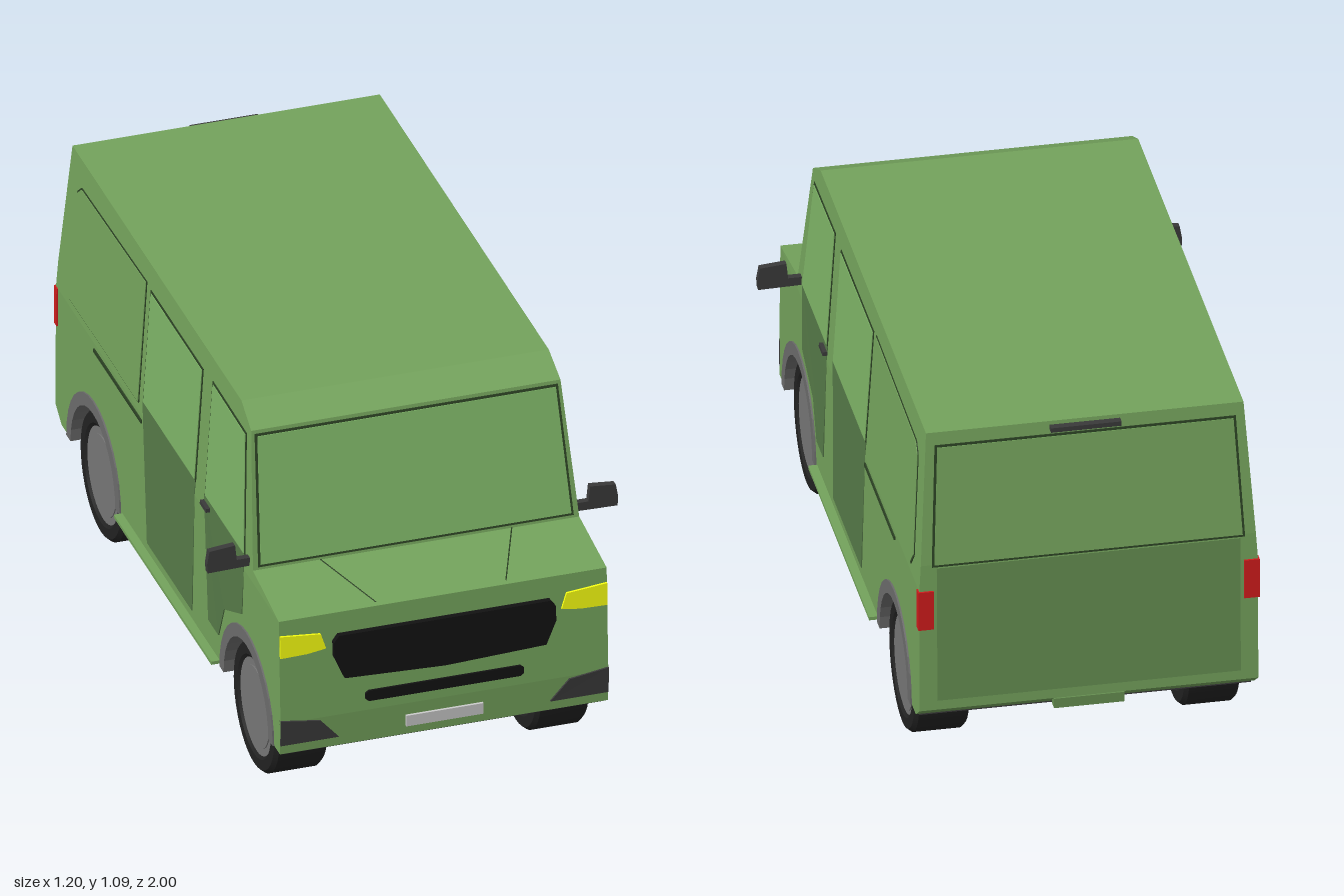
import * as THREE from 'three';
import { toCreasedNormals } from 'three/addons/utils/BufferGeometryUtils.js';

const mat = (color) => new THREE.MeshStandardMaterial({ color });
const paint = mat(0x74a35c), glass = mat(0x7db366), door = mat(0x567a48), tail = mat(0x668f51);
const seam = mat(0x2c4224), black = mat(0x121212), rubber = mat(0x222222), trim = mat(0x3a3a3a);
const archGrey = mat(0x6c6c6c), hubGrey = mat(0x777777), yellow = mat(0xf7ff10), red = mat(0xd01c1c);
const grey = mat(0xcccccc);

// Piecewise linear lookup over rows of [y, value]
const lookup = (rows) => (y) => {
  let i = 0;
  while (i < rows.length - 2 && y > rows[i + 1][0]) i++;
  const [y0, a] = rows[i], [y1, b] = rows[i + 1];
  return a + ((b - a) * (y - y0)) / (y1 - y0);
};
const halfWidth = (y) => (y <= 0.62 ? 0.48 : 0.48 - (0.03 * (y - 0.62)) / 0.475);
const noseZ = lookup([[0.2, 0.985], [0.3, 0.99], [0.62, 0.975]]);
const screenZ = lookup([[0.655, 0.74], [1.05, 0.65]]);
const tailZ = lookup([[0.24, -0.995], [0.62, -0.99], [0.7, -0.986], [1.095, -0.935]]);

// Surfaces that panels are laid on: (u, y, distance outward) to a point
const onNose = (u, y, d) => [u, y, noseZ(y) + d];
const onScreen = (u, y, d) => [u, y, screenZ(y) + d];
const onTail = (u, y, d) => [-u, y, tailZ(y) - d];
const onSide = (s) => (u, y, d) => [s * (halfWidth(y) + d), y, -s * u];
const acrossBody = (u, y, d) => [(2 * d - 1) * halfWidth(y), y, -u];

const flip = (pts, s) => pts.map(([a, y]) => [s * a, y]);
const rect = (a, b, y0, y1) => [[a, y0], [b, y0], [b, y1], [a, y1]];
const arc = (c, r) => Array.from({ length: 17 }, (_, i) => {
  const a = (Math.PI * i) / 16;
  return [c + r * Math.cos(a), 0.2 + r * Math.sin(a)];
});
// Enlarge an outline about its middle
const grow = (pts, k) => {
  const mid = [0, 1].map((j) => pts.reduce((t, p) => t + p[j], 0) / pts.length);
  return pts.map((p) => p.map((v, j) => v + k * Math.sign(v - mid[j])));
};

export function createModel() {
  const model = new THREE.Group();
  model.name = 'van';

  const add = (name, geometry, material, x = 0, y = 0, z = 0) => {
    const mesh = new THREE.Mesh(geometry, material);
    mesh.name = name;
    mesh.position.set(x, y, z);
    model.add(mesh);
    return mesh;
  };
  const box = (name, w, h, d, material, x, y, z) => add(name, new THREE.BoxGeometry(w, h, d), material, x, y, z);

  // Extrude an outline and wrap it onto a surface, standing out by "out"
  const panel = (name, pts, place, out, material, depth = 0.015) => {
    const shape = new THREE.Shape(pts.map((p) => new THREE.Vector2(...p)));
    const geo = new THREE.ExtrudeGeometry(shape, { depth, bevelEnabled: false });
    const pos = geo.attributes.position;
    for (let i = 0; i < pos.count; i++) {
      pos.setXYZ(i, ...place(pos.getX(i), pos.getY(i), out - depth + pos.getZ(i)));
    }
    geo.computeVertexNormals();
    return add(name, geo, material);
  };
  const framed = (name, pts, place, material) => {
    panel(name + 'Seam', grow(pts, 0.007), place, 0.002, seam);
    panel(name, pts, place, 0.004, material);
  };

  // Body shell: cabin, lower core and lower flanks with wheel cut-outs
  const axles = [0.7, -0.65];
  const front = [[0.975, 0.62], [0.99, 0.3], [0.985, 0.2]];
  const back = [[-0.94, 0.2], [-0.995, 0.24], [-0.99, 0.62]];
  const cabin = [[0.975, 0.62], [0.74, 0.655], [0.65, 1.05], [0.555, 1.095],
    [-0.935, 1.095], [-0.986, 0.7], [-0.99, 0.62]];
  const flank = [...front, ...axles.flatMap((c) => arc(c, 0.235)), ...back];
  panel('cabin', flip(cabin, -1), acrossBody, 1, paint, 1);
  panel('lowerCore', flip([...front, ...back], -1), onSide(1), -0.2, paint, 0.56);
  box('floor', 0.94, 0.006, 0.86, trim, 0, 0.198, 0.027);
  box('floorCore', 0.56, 0.006, 1.9, trim, 0, 0.198, 0.025);
  box('frontFloor', 0.94, 0.006, 0.04, trim, 0, 0.198, 0.958);
  box('rearFloor', 0.94, 0.006, 0.05, trim, 0, 0.198, -0.913);
  box('sill', 1.01, 0.01, 0.86, paint, 0, 0.206, 0.025);

  // Side outlines in (z, y)
  const frontWindow = [[0.665, 0.67], [0.61, 1.018], [0.325, 1.022], [0.325, 0.67]];
  const frontDoor = [[0.67, 0.667], [0.655, 0.47], [0.5, 0.4], [0.45, 0.29], [0.36, 0.29], [0.315, 0.667]];
  const slidingWindow = rect(-0.22, 0.23, 0.67, 1.015);
  const slidingDoor = [[0.235, 0.667], [0.215, 0.24], [-0.18, 0.24], [-0.228, 0.667]];
  const rearWindow = [[-0.265, 1.025], [-0.83, 1.012], [-0.862, 0.985], [-0.9, 0.69], [-0.865, 0.648], [-0.265, 0.648]];
  const mirror = [[0.47, 0.655], [0.6, 0.652], [0.602, 0.68], [0.595, 0.72], [0.52, 0.727], [0.515, 0.68], [0.47, 0.68]];
  const headlight = [[0.345, 0.517], [0.36, 0.564], [0.479, 0.575], [0.479, 0.507], [0.4, 0.509]];
  const bumperCorner = [[0.31, 0.23], [0.48, 0.23], [0.48, 0.31], [0.365, 0.293]];

  // Wheel profile as [radius, offset along the axle]
  const tyre = [[0.14, -0.07], [0.15, -0.078], [0.18, -0.078], [0.19, -0.066],
    [0.19, 0.066], [0.18, 0.078], [0.15, 0.078], [0.14, 0.07]].map((p) => new THREE.Vector2(...p));
  const tyreGeo = toCreasedNormals(new THREE.LatheGeometry(tyre, 40), 0.4).rotateZ(Math.PI / 2);
  const hubGeo = new THREE.CylinderGeometry(0.145, 0.145, 0.142, 40).rotateZ(Math.PI / 2);
  const hubCapGeo = new THREE.CylinderGeometry(0.12, 0.13, 0.148, 40).rotateZ(Math.PI / 2);

  for (const s of [1, -1]) {
    const n = s > 0 ? 'left' : 'right';
    const side = onSide(s);
    const pts = (p) => flip(p, -s);
    panel(n + 'Flank', pts(flank), side, 0, paint, 0.2);

    // Doors and windows
    framed(n + 'FrontWindow', pts(frontWindow), side, glass);
    framed(n + 'SlidingWindow', pts(slidingWindow), side, glass);
    panel(n + 'RearWindowSeam', pts(grow(rearWindow, 0.004)), side, 0.002, seam);
    panel(n + 'RearWindow', pts(rearWindow), side, 0.004, paint);
    panel(n + 'FrontDoorPanel', pts(frontDoor), side, 0.003, door);
    panel(n + 'SlidingDoorPanel', pts(slidingDoor), side, 0.003, door);
    panel(n + 'DoorHandle', pts(rect(0.315, 0.37, 0.64, 0.652)), side, 0.014, trim, 0.03);
    panel(n + 'SlidingRail', pts(rect(-0.65, -0.23, 0.595, 0.606)), side, 0.004, seam);

    // Wheels, arch trims and wells
    axles.forEach((z, i) => {
      const w = n + (i ? 'Rear' : 'Front');
      const ring = [...arc(z, 0.235), ...arc(z, 0.197).reverse()];
      panel(w + 'Arch', pts(ring), side, 0.005, archGrey, 0.205);
      panel(w + 'WheelWell', pts(arc(z, 0.235)), side, -0.194, archGrey, 0.012);
      add(w + 'Tyre', tyreGeo, rubber, s * 0.383, 0.193, z);
      add(w + 'Hub', hubGeo, hubGrey, s * 0.383, 0.193, z);
      add(w + 'HubCap', hubCapGeo, hubGrey, s * 0.383, 0.193, z);
    });

    // Lights, bumper corners, mirrors and bonnet creases
    panel(n + 'Headlight', flip(headlight, s), onNose, 0.007, yellow);
    panel(n + 'BumperCorner', flip(bumperCorner, s), onNose, 0.006, trim);
    panel(n + 'TailLight', flip(rect(0.44, 0.484, 0.5, 0.62), s), onTail, 0.006, red, 0.025);
    panel(n + 'Mirror', flip(mirror, s), (u, y, d) => [u, y, 0.7 + d], 0.01, trim, 0.02);
    const crease = new THREE.LineCurve3(new THREE.Vector3(s * 0.28, 0.655, 0.74), new THREE.Vector3(s * 0.19, 0.622, 0.96));
    add(n + 'BonnetCrease', new THREE.TubeGeometry(crease, 1, 0.002, 6), seam);
  }

  // Nose
  const grille = [[0.31, 0.555], [0.325, 0.535], [0.325, 0.49], [0.295, 0.42], [0, 0.408]];
  panel('grille', [...grille, ...flip(grille.slice(0, 4), -1).reverse()], onNose, 0.017, black, 0.025);
  const slot = [[0.222, 0.33], [0.232, 0.338], [0.232, 0.354], [0.222, 0.362]];
  panel('lowerIntake', [...slot, ...flip(slot, -1).reverse()], onNose, 0.007, black);
  panel('numberPlate', rect(-0.113, 0.113, 0.228, 0.263), onNose, 0.008, grey);
  framed('windscreen', [[-0.455, 0.67], [0.455, 0.67], [0.437, 1.033], [-0.437, 1.033]], onScreen, glass);

  // Tail
  framed('rearScreen', [[-0.437, 0.7], [0.437, 0.7], [0.42, 1.05], [-0.42, 1.05]], onTail, paint);
  panel('tailgate', rect(-0.43, 0.43, 0.27, 0.69), onTail, 0.003, tail);
  box('tailgateHandle', 0.2, 0.03, 0.03, tail, 0, 0.225, -0.985);
  box('highBrakeLight', 0.2, 0.014, 0.03, trim, 0, 1.077, -0.943);

  return model;
}
